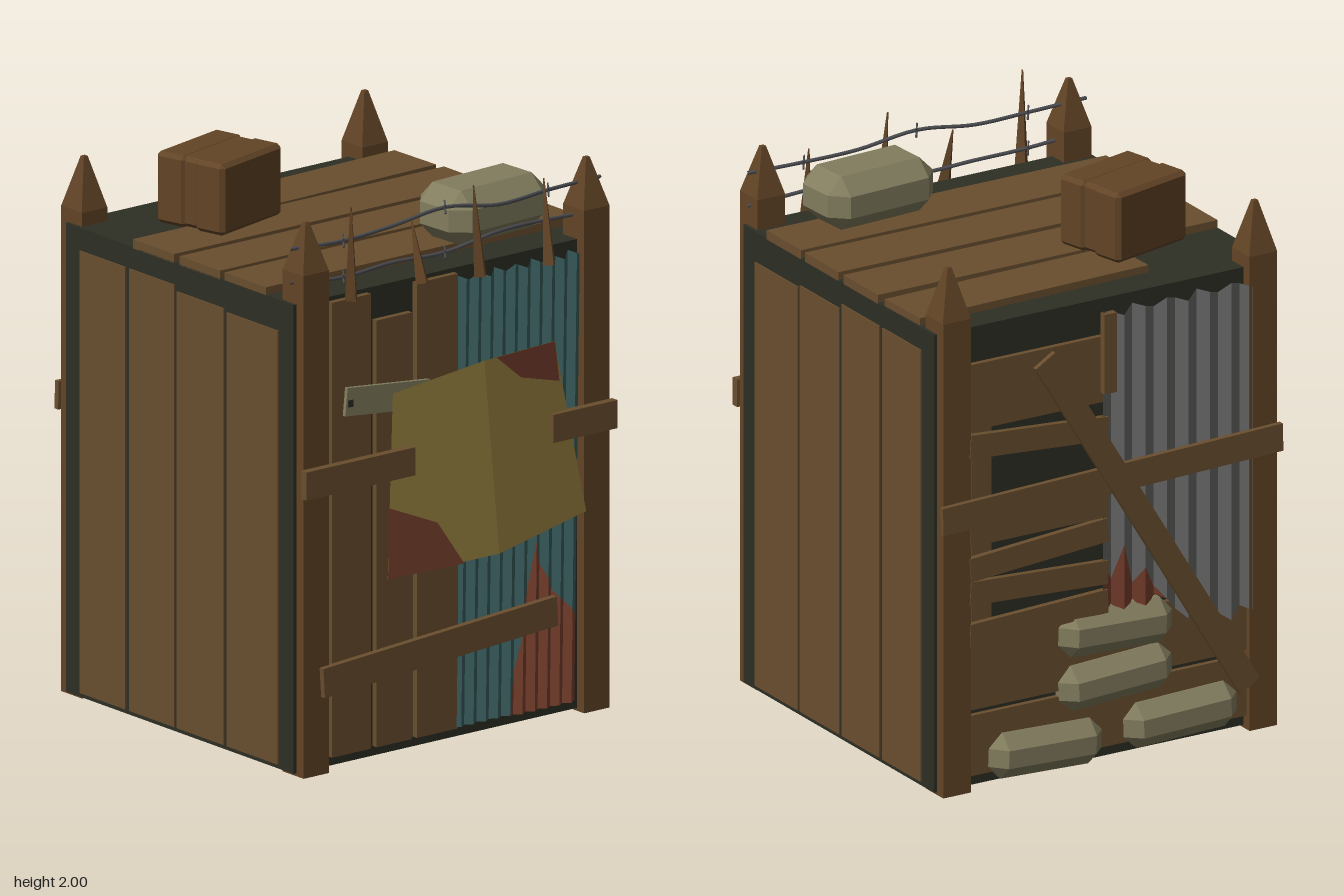
import * as THREE from 'three';
import { ConvexGeometry } from 'three/addons/geometries/ConvexGeometry.js';

function material(name, color, side = THREE.FrontSide) {
  const m = new THREE.MeshStandardMaterial({ color, side });
  m.name = name;
  return m;
}

export function createModel() {
  const group = new THREE.Group();
  const D = THREE.DoubleSide;
  const wood = material('plank brown', 0x694e2e);
  const darkWood = material('post brown', 0x624426);
  const dark = material('dark frame', 0x2d2e24, D);
  const teal = material('teal sheet', 0x3b5f5f, D);
  const rust = material('rust red', 0x7a412e, D);
  const yellow = material('faded yellow', 0x9c8541, D);
  const grey = material('grey sheet', 0x6c6d6b, D);
  const canvas = material('canvas', 0x827d5e);
  const steel = material('wire grey', 0x4e4f54);

  const add = (name, geo, mat, x = 0, y = 0, z = 0) => {
    const m = new THREE.Mesh(geo, mat);
    m.name = name;
    m.position.set(x, y, z);
    group.add(m);
    return m;
  };
  // box given by its limits on each axis
  const box = (name, mat, x0, x1, y0, y1, z0, z1) =>
    add(name, new THREE.BoxGeometry(x1 - x0, y1 - y0, z1 - z0), mat, (x0 + x1) / 2, (y0 + y1) / 2, (z0 + z1) / 2);
  // board running between two points in a wall plane
  const board = (name, mat, x0, y0, x1, y1, width, z, t) => {
    const geo = new THREE.BoxGeometry(Math.hypot(x1 - x0, y1 - y0), width, t);
    const m = add(name, geo, mat, (x0 + x1) / 2, (y0 + y1) / 2, z);
    m.rotation.z = Math.atan2(y1 - y0, x1 - x0);
    return m;
  };
  const faceted = (geo) => {
    const g = geo.index ? geo.toNonIndexed() : geo;
    g.computeVertexNormals();
    return g;
  };
  const fromTriangles = (pos) => {
    const g = new THREE.BufferGeometry();
    g.setAttribute('position', new THREE.Float32BufferAttribute(pos, 3));
    return faceted(g);
  };
  // box with every edge and corner cut
  const chamfered = (w, h, d, c) => {
    const pts = [];
    for (const x of [-1, 1]) for (const y of [-1, 1]) for (const z of [-1, 1])
      for (let k = 0; k < 3; k++) {
        pts.push(new THREE.Vector3(
          x * (w / 2 - (k === 0 ? 0 : c)), y * (h / 2 - (k === 1 ? 0 : c)), z * (d / 2 - (k === 2 ? 0 : c))));
      }
    return new ConvexGeometry(pts);
  };
  // corrugated sheet: one lower and upper height for each fold
  const sheet = (name, mat, x0, x1, z, lo, hi, shear = 0) => {
    const n = lo.length - 1, pos = [];
    const p = (i, y) => [x0 + (x1 - x0) * i / n + shear * y, y, z + (i % 2 ? 0.009 : -0.009)];
    for (let i = 0; i < n; i++) {
      if (hi[i] <= lo[i] && hi[i + 1] <= lo[i + 1]) continue;
      const a = p(i, lo[i]), b = p(i + 1, lo[i + 1]), c = p(i + 1, hi[i + 1]), d = p(i, hi[i]);
      pos.push(...a, ...b, ...c, ...a, ...c, ...d);
    }
    return add(name, fromTriangles(pos), mat);
  };

  // hollow core, open underneath
  const core = new THREE.BoxGeometry(1.36, 1.67, 1.24);
  core.setIndex([...core.index.array].filter((_, i) => i < 18 || i >= 24));
  core.clearGroups();
  add('core', core, dark, 0, 0.845, 0);

  // corner posts with pointed tops
  for (const sx of [-1, 1]) for (const sz of [-1, 1]) {
    const shoulder = sz > 0 ? 1.79 : 1.73, tip = sz > 0 ? 1.96 : 1.91;
    const x = sx * 0.613, z = sz * 0.603;
    box('cornerPost', darkWood, x - 0.055, x + 0.055, 0, shoulder, z - 0.057, z + 0.057);
    const cap = faceted(new THREE.CylinderGeometry(0.012, 0.079, tip - shoulder, 4).rotateY(Math.PI / 4));
    add('postTip', cap, darkWood, x, (shoulder + tip) / 2, z);
  }

  // side planks, mirrored
  const sidePlanks = [[0.26, 0.54, 1.57], [-0.01, 0.245, 1.58], [-0.27, -0.025, 1.6], [-0.54, -0.29, 1.6]];
  for (const s of [-1, 1]) for (const [z0, z1, top] of sidePlanks) {
    box('sidePlank', wood, s * 0.68 - 0.005, s * 0.68 + 0.005, 0.025, top, z0, z1);
  }

  // roof planks, the rear one broken and skewed
  for (const [z0, z1] of [[-0.255, -0.03], [0, 0.22], [0.245, 0.47]]) {
    box('roofPlank', wood, -0.68, 0.68, 1.675, 1.708, z0, z1);
  }
  box('brokenRoofPlank', wood, -0.255, 0.675, 1.675, 1.706, -0.503, -0.283).rotation.y = 0.026;

  // crate made of two padded halves around a narrower middle
  const crate = new THREE.Group();
  crate.name = 'crate';
  for (const [w, h, d, z] of [[0.34, 0.255, 0.125, -0.0825], [0.34, 0.255, 0.125, 0.0825], [0.32, 0.25, 0.2, 0]]) {
    const part = new THREE.Mesh(chamfered(w, h, d, 0.015), darkWood);
    part.name = 'cratePart';
    part.position.z = z;
    crate.add(part);
  }
  crate.position.set(-0.298, 1.835, -0.26);
  crate.rotation.y = 0.24;
  group.add(crate);

  // sandbags on the roof and stacked through the back wall
  add('roofSandbag', chamfered(0.44, 0.195, 0.26, 0.058), canvas, 0.304, 1.805, 0.42).rotation.y = 0.06;
  for (const [x, y, a] of [[0.25, 0.095, 0.04], [-0.29, 0.11, -0.03], [-0.03, 0.3, -0.05], [-0.03, 0.48, 0.04]]) {
    add('wallSandbag', chamfered(0.45, 0.165, 0.27, 0.05), canvas, x, y, -0.56).rotation.z = a;
  }

  // front wall planks
  for (const [x0, x1, top] of [[-0.53, -0.36, 1.665], [-0.335, -0.18, 1.565], [-0.16, 0.02, 1.665]]) {
    box('frontPlank', wood, x0, x1, 0.045, top, 0.61, 0.643);
  }

  // front corrugated sheet with a rusted corner
  const rustLine = [...Array(10).fill(0.05), 0.2, 0.33, 0.48, 0.65, 0.56, 0.51, 0.46, 0.43, 0.41, 0.38, 0.35];
  sheet('frontSheet', teal, 0, 0.535, 0.643, rustLine, rustLine.map((_, i) => 1.655 - 0.012 * (i % 3)), 0.015);
  sheet('frontSheetRust', rust, 0, 0.535, 0.643, rustLine.map(() => 0.045), rustLine.map((y) => (y > 0.1 ? y : 0.045)), 0.015);

  // folded sign with rusted corners
  const sign = (name, mat, pts, lift = 0) => {
    const v = pts.map(([x, y]) => {
      const ridge = 0.155 - (y - 0.655) * 0.093;
      return [x, y, 0.7 - 0.09 * Math.abs(x - ridge) + lift];
    });
    const pos = [];
    for (let i = 2; i < v.length; i++) pos.push(...v[0], ...v[i - 1], ...v[i]);
    add(name, fromTriangles(pos), mat);
  };
  sign('signLeft', yellow, [[-0.3, 0.64], [0.155, 0.655], [0.09, 1.355], [-0.283, 1.3]]);
  sign('signRight', yellow, [[0.155, 0.655], [0.565, 0.72], [0.42, 1.355], [0.09, 1.355]]);
  sign('signRustLow', rust, [[-0.3, 0.64], [0.01, 0.646], [-0.1, 0.81], [-0.3, 0.895]], 0.003);
  sign('signRustHigh', rust, [[0.145, 1.355], [0.26, 1.26], [0.44, 1.21], [0.42, 1.355]], 0.003);

  // front boards
  board('frontBoardRight', wood, -0.68, 1.05, -0.203, 1.05, 0.1, 0.675, 0.03);
  board('frontBoardLeft', wood, 0.4, 1.05, 0.68, 1.05, 0.1, 0.675, 0.03);
  board('frontBoardLow', wood, -0.595, 0.33, 0.425, 0.395, 0.105, 0.669, 0.024);
  board('paleBoard', canvas, -0.48, 1.305, -0.12, 1.268, 0.1, 0.652, 0.014);
  box('boardHole', dark, -0.473, -0.452, 1.285, 1.31, 0.657, 0.661);

  // leaning stakes along the front edge
  const stakes = [[-0.445, 1.66, 0.64, -0.465, 2, 0.665], [-0.135, 1.66, 0.64, -0.14, 1.87, 0.59],
    [0.115, 1.64, 0.645, 0.09, 1.965, 0.64], [0.42, 1.62, 0.64, 0.433, 1.915, 0.595]];
  for (const [x0, y0, z0, x1, y1, z1] of stakes) {
    const a = new THREE.Vector3(x0, y0, z0), b = new THREE.Vector3(x1, y1, z1);
    const dir = b.clone().sub(a);
    const m = add('stake', faceted(new THREE.CylinderGeometry(0.003, 0.027, dir.length(), 4)), darkWood);
    m.position.copy(a).add(b).multiplyScalar(0.5);
    m.quaternion.setFromUnitVectors(new THREE.Vector3(0, 1, 0), dir.normalize());
  }

  // barbed wires
  const wires = [[1.875, 1.865, 1.87, 1.895, 1.865, 1.87, 1.875], [1.755, 1.735, 1.74, 1.735, 1.77, 1.765, 1.755]];
  for (const heights of wires) {
    const pts = heights.map((y, i) => new THREE.Vector3(-0.68 + i * 0.2267, y, 0.6 + 0.01 * Math.sin(i * 2)));
    add('wire', new THREE.TubeGeometry(new THREE.CatmullRomCurve3(pts), 36, 0.007, 5), steel);
    for (const i of [1, 3, 5]) for (const s of [-1, 1]) {
      const barb = add('barb', new THREE.CylinderGeometry(0.003, 0.004, 0.06, 4), steel, ...pts[i].toArray());
      barb.rotation.set(s * 0.9, 0, s * 0.5);
    }
  }

  // back wall planks around a dark slatted window
  box('backPlank', wood, -0.56, 0.56, 0.05, 0.27, -0.64, -0.61);
  box('backPlank', wood, -0.56, 0.56, 0.29, 0.53, -0.64, -0.61);
  box('backPlank', wood, -0.56, 0.56, 1.31, 1.55, -0.64, -0.61);
  box('backUpright', wood, 0.46, 0.54, 0.53, 1.31, -0.635, -0.61);
  for (const [y, tilt] of [[1.24, 0.02], [0.94, 0], [0.83, -0.02], [0.71, 0.015], [0.58, -0.01]]) {
    board('slat', wood, 0.01, y - tilt, 0.56, y + tilt, 0.085, -0.653, 0.022);
  }

  // back corrugated sheet with rusted end
  const backEdge = [0.74, 0.66, 0.78, 0.63, 0.68, 0.6, 0.55, 0.5, 0.46, 0.5, 0.42, 0.45, 0.42, 0.46, 0.44];
  sheet('backSheet', grey, 0.03, -0.57, -0.652, backEdge, backEdge.map((_, i) => 1.65 - 0.015 * (i % 3)));
  sheet('backSheetRust', rust, 0.03, -0.57, -0.652,
    backEdge.map((y, i) => (i < 6 ? 0.52 + 0.05 * (i % 2) : y)), backEdge);
  box('backPatch', wood, -0.02, 0.03, 1.35, 1.64, -0.672, -0.645);

  // boards nailed across the back
  board('backCrossBoard', wood, -0.68, 1.055, 0.68, 1.015, 0.1, -0.67, 0.02);
  board('backDiagonalBoard', wood, -0.54, 0.18, 0.28, 1.53, 0.09, -0.686, 0.018);

  return group;
}
